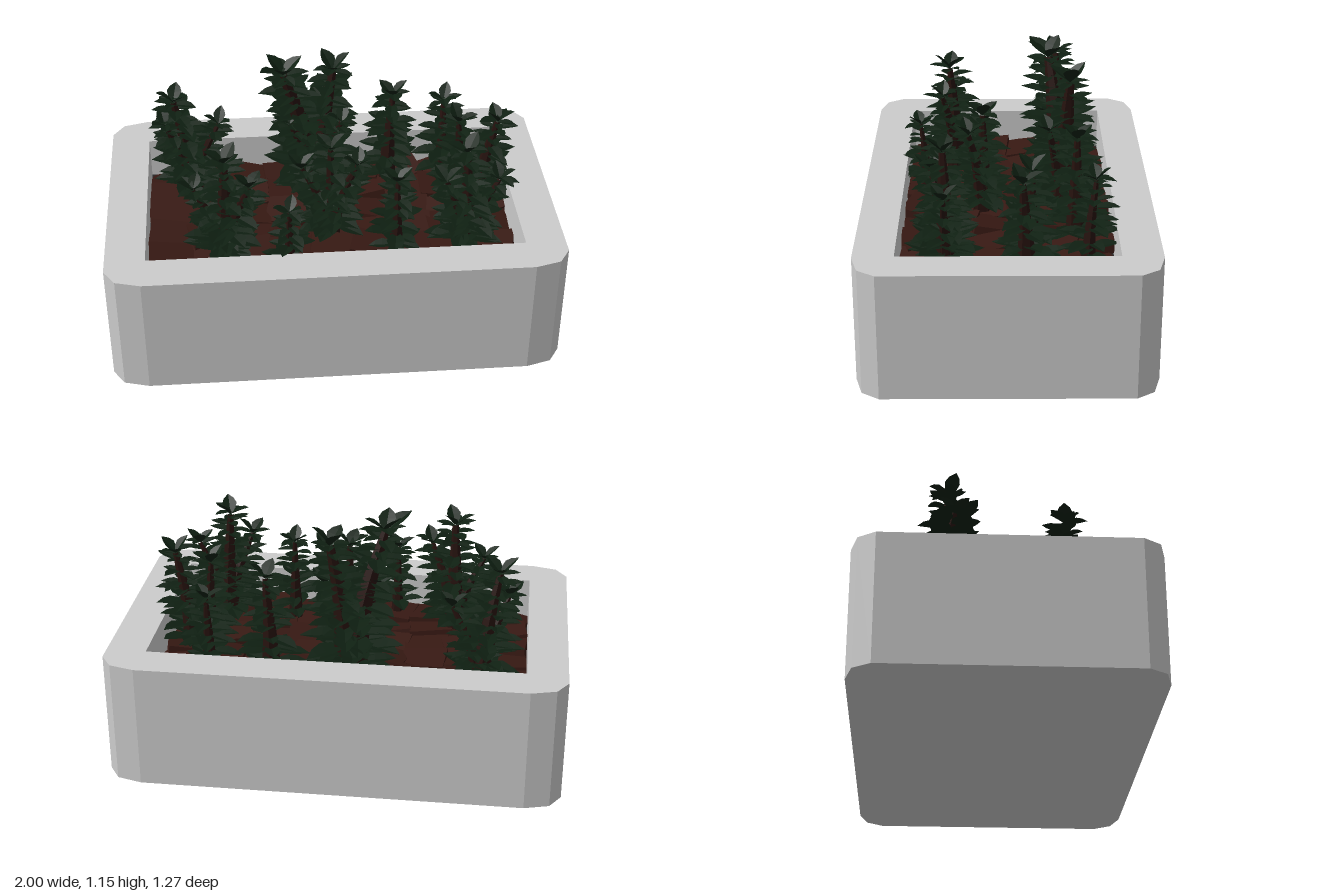
import * as THREE from 'three';
import { mergeGeometries } from 'three/addons/utils/BufferGeometryUtils.js';

// Small seeded random in [-1, 1]
let seed = 7;
function jitter() {
  seed = (seed * 16807) % 2147483647;
  return (seed / 2147483647) * 2 - 1;
}

const grey = new THREE.MeshStandardMaterial({ color: 0xcccccc, flatShading: true });
const slate = new THREE.MeshStandardMaterial({ color: 0x262626, flatShading: true });
const soil = new THREE.MeshStandardMaterial({ color: 0x371913, flatShading: true });
const bark = new THREE.MeshStandardMaterial({ color: 0x26120e, flatShading: true });
const green = new THREE.MeshStandardMaterial({ color: 0x0f2012, flatShading: true, side: THREE.DoubleSide });

function addMesh(parent, name, geometry, material) {
  const mesh = new THREE.Mesh(geometry, material);
  mesh.name = name;
  parent.add(mesh);
  return mesh;
}

const HEIGHT = 0.565, HALF_X = 0.825, HALF_Z = 0.463, SOIL = 0.4;

// Chamfered tub with a rectangular opening
function planter() {
  const group = new THREE.Group();
  group.name = 'planter';
  const corner = [[1, 0.53], [0.95, 0.605], [0.84, 0.635]];
  const back = [...corner].reverse();
  const points = [
    ...corner,
    ...back.map(([x, z]) => [-x, z]),
    ...corner.map(([x, z]) => [-x, -z]),
    ...back.map(([x, z]) => [x, -z]),
  ].map(([x, z]) => new THREE.Vector2(x, z));
  const shape = new THREE.Shape(points);
  shape.holes.push(new THREE.Path([
    new THREE.Vector2(-HALF_X, -HALF_Z), new THREE.Vector2(-HALF_X, HALF_Z),
    new THREE.Vector2(HALF_X, HALF_Z), new THREE.Vector2(HALF_X, -HALF_Z),
  ]));
  const walls = new THREE.ExtrudeGeometry(shape, { depth: HEIGHT, bevelEnabled: false });
  addMesh(group, 'walls', walls.rotateX(-Math.PI / 2), grey);
  addMesh(group, 'base', new THREE.BoxGeometry(2 * HALF_X, 0.34, 2 * HALF_Z), grey).position.y = 0.17;
  addMesh(group, 'bedFloor', new THREE.BoxGeometry(2 * HALF_X, 0.03, 2 * HALF_Z), slate).position.y = 0.355;
  return group;
}

// Tilted slabs of earth filling the bed
function soilChunks() {
  const parts = [];
  const nx = 9, nz = 6;
  for (let i = 0; i < nx; i++) {
    for (let j = 0; j < nz; j++) {
      const chunk = new THREE.BoxGeometry(0.2, 0.06, 0.17);
      chunk.rotateX(jitter() * 0.22).rotateZ(jitter() * 0.22).rotateY(jitter() * 0.3);
      chunk.translate((i / (nx - 1) - 0.5) * 1.45, SOIL - 0.02 + jitter() * 0.015, (j / (nz - 1) - 0.5) * 0.76);
      parts.push(chunk);
    }
  }
  return mergeGeometries(parts);
}

// Pointed, slightly folded leaf running from the origin along +z, unit size
function leafBlade() {
  const widths = [0.12, 0.75, 1, 0.7, 0];
  const geometry = new THREE.PlaneGeometry(1, 1, 2, 4).rotateX(Math.PI / 2).translate(0, 0, 0.5);
  const p = geometry.attributes.position;
  for (let i = 0; i < p.count; i++) {
    const z = p.getZ(i);
    const x = p.getX(i) * widths[Math.round(z * 4)];
    p.setXYZ(i, x, Math.abs(x) * 0.3 + 0.12 * z * (1 - z), z);
  }
  return geometry;
}
const blade = leafBlade();

function leaf(position, turn, pitch, width, length) {
  const matrix = new THREE.Matrix4().compose(
    position,
    new THREE.Quaternion().setFromEuler(new THREE.Euler(-pitch, turn, 0, 'YXZ')),
    new THREE.Vector3(width, width, length),
  );
  return blade.clone().applyMatrix4(matrix);
}

// Tube narrowed toward its tip
function taperedStem(curve, radius) {
  const rings = 8, sides = 6;
  const tube = new THREE.TubeGeometry(curve, rings, radius, sides);
  const p = tube.attributes.position;
  const v = new THREE.Vector3();
  for (let i = 0; i < p.count; i++) {
    const t = Math.floor(i / (sides + 1)) / rings;
    const centre = curve.getPointAt(t);
    v.fromBufferAttribute(p, i).sub(centre).multiplyScalar(1 - 0.75 * t).add(centre);
    p.setXYZ(i, v.x, v.y, v.z);
  }
  return tube;
}

// Stem with whorls of leaves and an upright tuft at the tip; taller means thicker and leafier
function plant(x, z, leanX, top, leanZ) {
  const group = new THREE.Group();
  group.name = 'plant';
  const radius = 0.032 + (top - 0.74) * 0.13;
  const leafLength = 0.1 + (top - 0.74) * 0.12;
  const curve = new THREE.CatmullRomCurve3([
    new THREE.Vector3(x, SOIL - 0.03, z),
    new THREE.Vector3(x + leanX * 0.35, (SOIL + top) / 2, z + leanZ * 0.35),
    new THREE.Vector3(x + leanX, top, z + leanZ),
  ]);
  addMesh(group, 'stem', taperedStem(curve, radius), bark);

  const leaves = [];
  const whorls = Math.round((top - SOIL) / 0.042);
  for (let k = 2; k <= whorls; k++) {
    const t = k / whorls;
    for (let n = 0; n < 5; n++) {
      const length = leafLength * (1.1 - 0.35 * t) * (1 + 0.2 * jitter()) + radius * (1 - t);
      const at = curve.getPointAt(t);
      at.y += jitter() * 0.015;
      leaves.push(leaf(at, k * 2.4 + (n * Math.PI * 2) / 5 + jitter() * 0.3, 0.08 + jitter() * 0.2, length * 0.55, length));
    }
  }
  const start = jitter() * 3;
  for (let n = 0; n < 3; n++) {
    const length = leafLength * 0.85;
    leaves.push(leaf(curve.getPointAt(1), start + n * 2.1, 0.65 + jitter() * 0.2, length * 0.65, length));
  }
  addMesh(group, 'leaves', mergeGeometries(leaves), green);
  return group;
}

// Main stem with shorter side shoots spread around it
function clump([x, z, leanX, top, leanZ, shoots]) {
  const group = new THREE.Group();
  group.name = 'clump';
  group.add(plant(x, z, leanX, top, leanZ));
  const side = leanX < 0 ? -1 : 1;
  for (let s = 0; s < shoots; s++) {
    const angle = 0.5 + s * 2.6;
    group.add(plant(x, z, side * 0.13 * Math.cos(angle), 0.81 - 0.04 * s, 0.13 * Math.sin(angle)));
  }
  return group;
}

// base x, base z, lean x, tip height, lean z, side shoots
const CLUMPS = [
  [-0.62, -0.28, -0.07, 0.92, 0.04, 2],
  [-0.48, 0.24, 0.01, 0.92, 0.03, 2],
  [-0.20, 0.37, 0, 0.74, 0.03, 0],
  [-0.05, -0.25, -0.14, 1.07, 0.06, 1],
  [-0.04, -0.25, 0.08, 1.03, -0.03, 1],
  [0, 0.11, 0, 0.86, 0, 2],
  [0.30, -0.30, 0.02, 0.87, 0, 0],
  [0.28, 0.28, 0, 0.79, 0, 0],
  [0.57, -0.34, 0, 0.79, -0.03, 0],
  [0.62, -0.10, -0.02, 0.84, 0, 0],
  [0.70, -0.08, 0.07, 0.86, 0.02, 0],
  [0.60, 0.26, -0.02, 0.92, 0.01, 2],
];

export function createModel() {
  seed = 7;
  const model = new THREE.Group();
  model.name = 'plantedTrough';
  model.add(planter());
  addMesh(model, 'soil', soilChunks(), soil);

  const plants = new THREE.Group();
  plants.name = 'plants';
  CLUMPS.forEach((spec) => plants.add(clump(spec)));
  // Broad leaf reaching out from the tallest stem
  const crown = leaf(new THREE.Vector3(-0.19, 1.07, -0.19), -0.9, 0.45, 0.09, 0.15);
  addMesh(plants, 'crownLeaf', crown, green);
  model.add(plants);
  return model;
}
